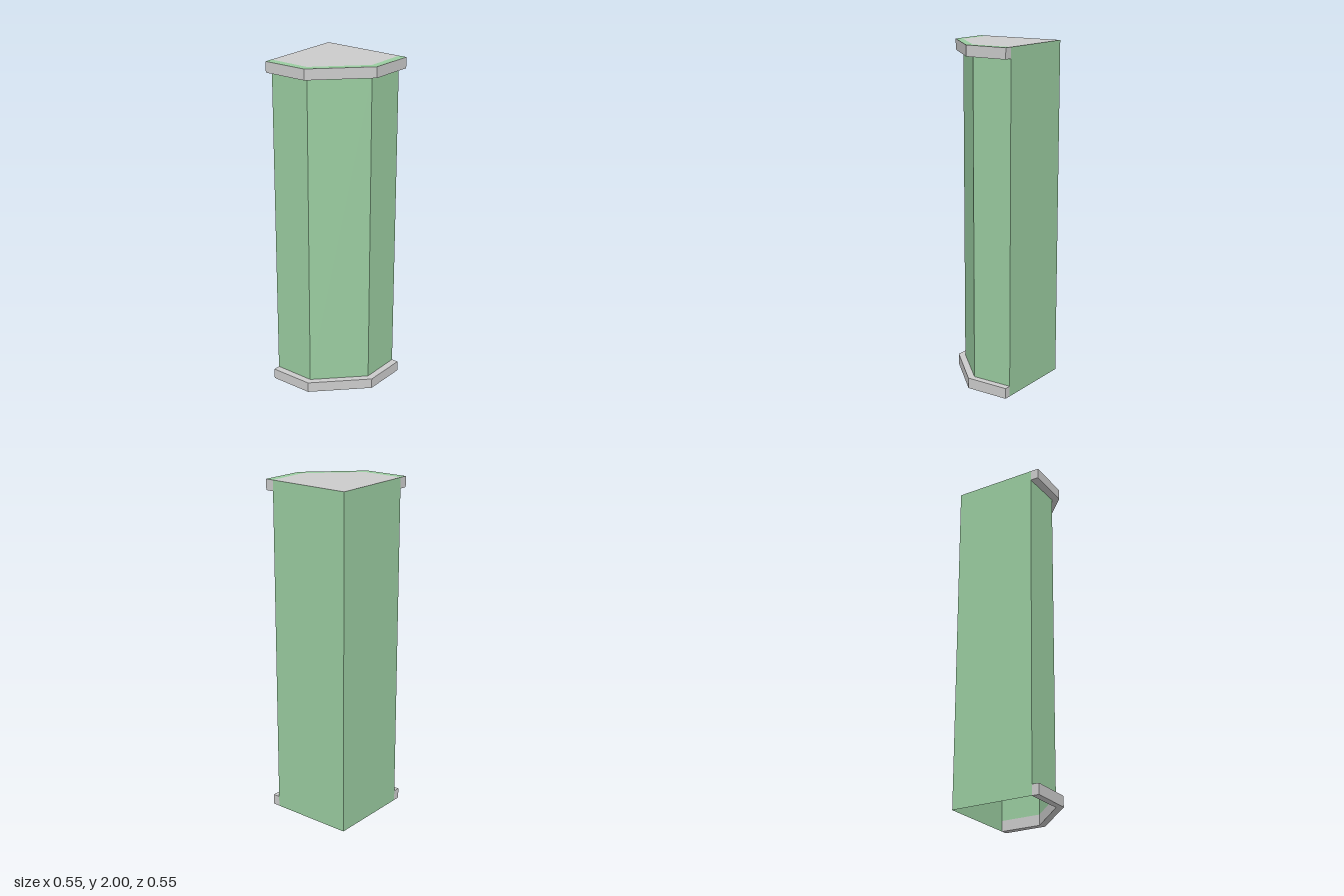
import * as THREE from 'three';

const H = 2, BAND = 0.0625, BACK = -0.275;

// Footprint as [x, z]; the chamfered corner faces +x +z
const footprint = [[0.225, BACK], [0.225, -0.025], [-0.025, 0.225], [BACK, 0.225], [BACK, BACK]];

const toShape = (points) => new THREE.Shape(points.map(([x, z]) => new THREE.Vector2(x, -z)));

export function createModel() {
  const model = new THREE.Group();
  const grey = new THREE.MeshStandardMaterial({ color: 0xcccccc, flatShading: true, side: THREE.DoubleSide });
  const green = new THREE.MeshStandardMaterial({ color: 0x9accA0, flatShading: true, side: THREE.DoubleSide });

  const add = (name, geometry, material) => {
    const mesh = new THREE.Mesh(geometry, material);
    mesh.name = name;
    model.add(mesh);
    return mesh;
  };

  // Thin upright wall between two footprint corners
  const addWall = (name, [x0, z0], [x1, z1], bottom, top) => {
    const wall = add(name, new THREE.PlaneGeometry(Math.hypot(x1 - x0, z1 - z0), top - bottom), green);
    wall.position.set((x0 + x1) / 2, (bottom + top) / 2, (z0 + z1) / 2);
    wall.rotation.y = Math.atan2(z0 - z1, x0 - x1) * -1;
  };

  // Body: three front walls between the bands, two full-height back walls, open underneath
  const names = ['rightSideWall', 'chamferWall', 'frontWall', 'plainSideWall', 'backWall'];
  names.forEach((name, i) => {
    const inset = i < 3 ? BAND : 0;
    addWall(name, footprint[i], footprint[(i + 1) % 5], inset, H - inset);
  });

  // Flat top
  const top = add('topPanel', new THREE.ShapeGeometry(toShape(footprint)), grey);
  top.rotation.x = -Math.PI / 2;
  top.position.y = H;

  // Projecting band wrapped around the three front walls
  const addBand = (name, y, end, bend, topMaterial) => {
    const outer = [[BACK, end], [-0.01, bend], [bend, -0.01], [end, BACK]];
    const geometry = new THREE.ExtrudeGeometry(toShape([...footprint.slice(0, 4), ...outer]),
      { depth: BAND, bevelEnabled: false });
    // Split the lids so the upper face can take its own material
    const [lids, sides] = geometry.groups;
    geometry.clearGroups();
    geometry.addGroup(lids.start, lids.count / 2, 0);
    geometry.addGroup(lids.start + lids.count / 2, lids.count / 2, 1);
    geometry.addGroup(sides.start, sides.count, 0);
    geometry.rotateX(-Math.PI / 2);
    add(name, geometry, [grey, topMaterial]).position.y = y;
  };
  addBand('baseBand', 0, 0.267, 0.264, grey);
  addBand('topBand', H - BAND, 0.275, 0.268, green);

  return model;
}
